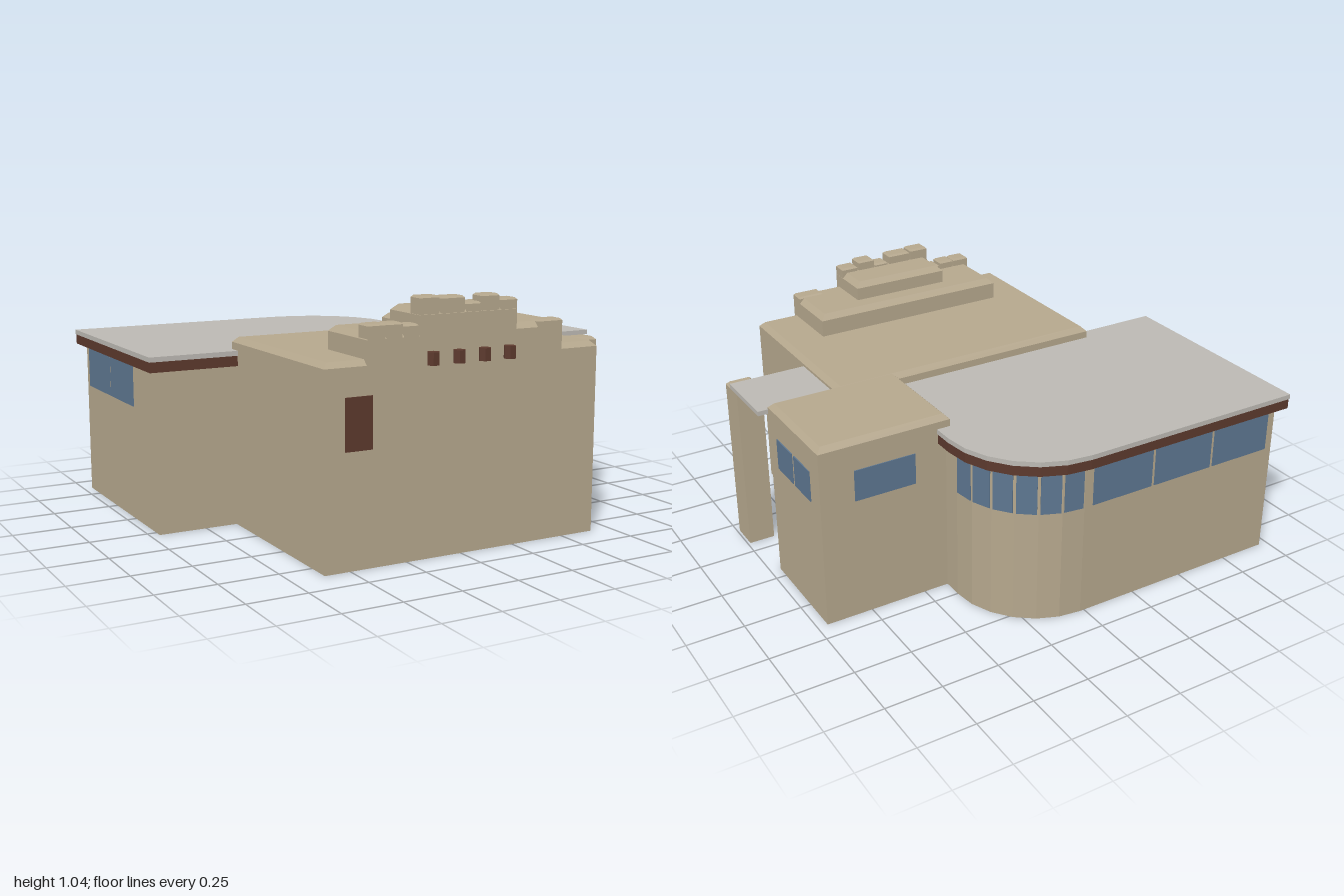
import * as THREE from 'three';

const mat = (name, color) => Object.assign(
  new THREE.MeshStandardMaterial({ color, side: THREE.DoubleSide }), { name });

export function createModel() {
  const model = new THREE.Group();
  const plaster = mat('plaster', 0xb5a78d);
  const slate = mat('roofGrey', 0xbcb9b3);
  const wood = mat('darkWood', 0x5c392d);
  const glass = mat('glass', 0x5d7690);

  const add = (name, geometry, material) => {
    const mesh = new THREE.Mesh(geometry, material);
    mesh.name = name;
    model.add(mesh);
    return mesh;
  };

  // Stack of convex [x, z] outlines at given heights, capped on top, optionally below
  const shell = (levels, closed = false) => {
    const pos = [];
    const tri = (...corners) => corners.forEach((c) => pos.push(...c));
    const rings = levels.map(([y, pts]) => pts.map(([x, z]) => [x, y, z]));
    const n = rings[0].length;
    for (let k = 0; k + 1 < rings.length; k++) {
      for (let i = 0; i < n; i++) {
        const j = (i + 1) % n, lo = rings[k], hi = rings[k + 1];
        tri(lo[i], lo[j], hi[j]);
        tri(lo[i], hi[j], hi[i]);
      }
    }
    const top = rings[rings.length - 1], base = rings[0];
    for (let i = 1; i + 1 < n; i++) {
      tri(top[0], top[i], top[i + 1]);
      if (closed) tri(base[0], base[i + 1], base[i]);
    }
    const g = new THREE.BufferGeometry();
    g.setAttribute('position', new THREE.Float32BufferAttribute(pos, 3));
    g.computeVertexNormals();
    return g;
  };

  // Block with a chamfered top edge
  const block = (name, x0, x1, y0, y1, z0, z1, bevel, closed = false) => {
    const rect = (d) => [[x0 + d, z1 - d], [x1 - d, z1 - d], [x1 - d, z0 + d], [x0 + d, z0 + d]];
    return add(name, shell([[y0, rect(0)], [y1 - bevel, rect(0)], [y1, rect(bevel)]], closed), plaster);
  };

  const box = (name, x0, x1, y0, y1, z0, z1, material) => {
    const m = add(name, new THREE.BoxGeometry(x1 - x0, y1 - y0, z1 - z0), material);
    m.position.set((x0 + x1) / 2, (y0 + y1) / 2, (z0 + z1) / 2);
    return m;
  };

  // Main hall, side room and porch pillar, open underneath
  block('mainHall', -0.61, 0.655, 0, 0.81, 0.02, 0.857, 0.022);
  block('sideRoom', 0.37, 0.955, 0, 0.81, -0.415, 0.06, 0.022);
  block('porchPillar', 0.873, 0.988, 0, 0.757, 0.32, 0.445, 0.014);

  // Stepped parapet on the facade
  block('lowerParapet', -0.43, 0.475, 0.77, 0.908, 0.545, 0.857, 0.024);
  block('upperParapet', -0.2, 0.25, 0.88, 0.988, 0.635, 0.857, 0.024);
  [
    [-0.427, -0.35, 0.88, 0.943], [-0.345, -0.275, 0.88, 0.943], [-0.268, -0.203, 0.88, 0.933],
    [0.355, 0.475, 0.88, 0.914],
    [-0.2, -0.112, 0.965, 1.036], [-0.106, 0.003, 0.965, 1.03], [0.013, 0.08, 0.965, 1.003],
    [0.085, 0.165, 0.965, 1.03], [0.172, 0.25, 0.965, 1.01],
  ].forEach(([x0, x1, y0, y1]) => block('parapetStone', x0, x1, y0, y1, 0.787, 0.857, 0.008, true));

  // Rear wing with one rounded corner; d is the overhang
  const centre = [0.02, -0.5], radius = 0.37, steps = 6;
  const wingOutline = (d) => {
    const pts = [[-0.96 - d, 0.04 + d], [0.39 + d, 0.04 + d]];
    for (let i = 0; i <= steps; i++) {
      const a = (i / steps) * Math.PI / 2;
      pts.push([centre[0] + (radius + d) * Math.cos(a), centre[1] - (radius + d) * Math.sin(a)]);
    }
    pts.push([-0.96 - d, -0.87 - d]);
    return pts;
  };
  const slab = (name, d, y0, y1, material) =>
    add(name, shell([[y0, wingOutline(d)], [y1, wingOutline(d)]], true), material);
  add('rearWing', shell([[0, wingOutline(0)], [0.7, wingOutline(0)]]), plaster);
  slab('wingFascia', 0.037, 0.692, 0.736, wood);
  slab('wingRoof', 0.04, 0.736, 0.757, slate);

  // Ribbon windows of the rear wing
  const t = 0.004;
  for (let i = 0; i < steps; i++) {
    const step = Math.PI / 2 / steps, a = (i + 0.5) * step, r = radius * Math.cos(step / 2);
    const pane = add('curvedWallWindow',
      new THREE.BoxGeometry(2 * radius * Math.sin(step / 2) * 0.87, 0.192, 2 * t), glass);
    pane.position.set(centre[0] + r * Math.cos(a), 0.596, centre[1] - r * Math.sin(a));
    pane.rotation.y = a + Math.PI / 2;
  }
  for (let i = 0; i < 3; i++) {
    const x = -0.02 - i * 0.306;
    box('wingBackWindow', x - 0.292, x, 0.5, 0.692, -0.87 - t, -0.87 + t, glass);
  }
  for (const z of [-0.83, -0.525]) {
    box('wingSideWindow', -0.96 - t, -0.96 + t, 0.5, 0.692, z, z + 0.29, glass);
  }

  // Windows of the side room and hall
  for (const z of [-0.33, -0.165]) {
    box('roomSideWindow', 0.955 - t, 0.955 + t, 0.54, 0.677, z, z + 0.147, glass);
  }
  box('roomBackWindow', 0.533, 0.805, 0.54, 0.677, -0.415 - t, -0.415 + t, glass);
  box('porchWindow', 0.715, 0.905, 0.465, 0.7, 0.06 - t, 0.06 + t, glass);
  box('hallSideWindow', 0.655 - t, 0.655 + t, 0.54, 0.677, 0.36, 0.515, glass);
  box('frontShutter', -0.522, -0.405, 0.467, 0.675, 0.857 - t, 0.857 + t, wood);

  // Porch canopy with its beam and hanging post
  box('canopyRoof', 0.655, 0.998, 0.757, 0.777, 0.062, 0.368, slate);
  box('canopyBeam', 0.657, 0.96, 0.722, 0.757, 0.325, 0.36, wood);
  const hexPost = (name, r, x, y0, y1, z) => {
    const g = new THREE.CylinderGeometry(r, r, y1 - y0, 6, 1, false, Math.PI / 6).toNonIndexed();
    g.computeVertexNormals();
    add(name, g, wood).position.set(x, (y0 + y1) / 2, z);
  };
  hexPost('canopyPost', 0.016, 0.697, 0.465, 0.722, 0.342);

  // Row of beam ends in front of the facade
  for (let i = 0; i < 4; i++) hexPost('beamEnd', 0.026, -0.158 + i * 0.118, 0.775, 0.826, 0.89);

  return model;
}
